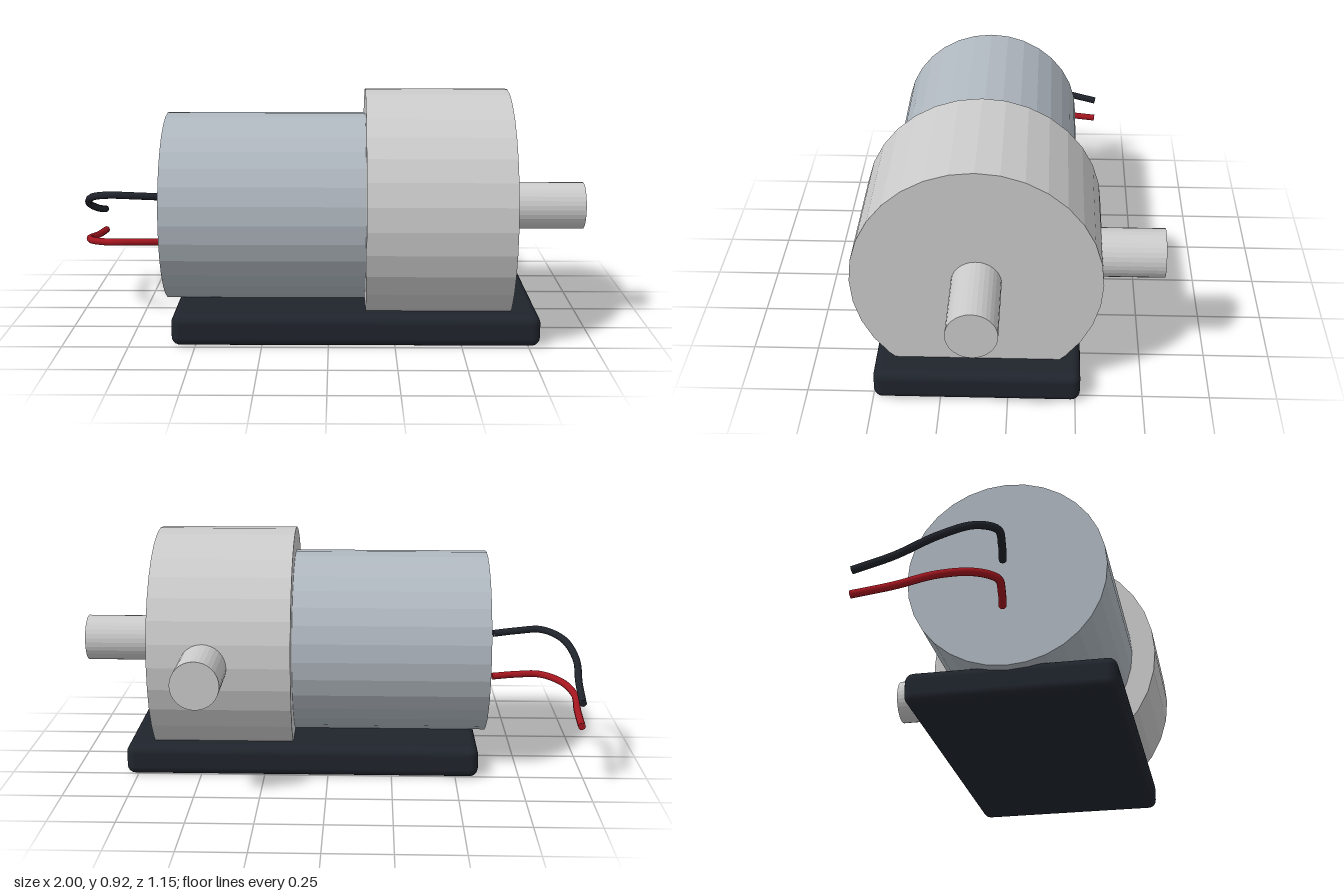
import * as THREE from 'three';
import { RoundedBoxGeometry } from 'three/addons/geometries/RoundedBoxGeometry.js';

const AXIS_Y = 0.465, AXIS_Z = 0.115;

function material(color, flatShading = false) {
  return new THREE.MeshStandardMaterial({ color, flatShading });
}

function addMesh(group, name, geometry, mat) {
  const mesh = new THREE.Mesh(geometry, mat);
  mesh.name = name;
  group.add(mesh);
  return mesh;
}

// Cylinder lying along x between two stations, on the motor axis
function addAxial(group, name, radius, x0, x1, mat) {
  const geometry = new THREE.CylinderGeometry(radius, radius, x1 - x0, 32);
  geometry.rotateZ(-Math.PI / 2);
  addMesh(group, name, geometry, mat).position.set((x0 + x1) / 2, AXIS_Y, AXIS_Z);
}

// Lead that leaves the motor, bends and runs backwards; heights vary per wire
function addWire(group, name, heights, color) {
  const plan = [
    [-0.667, 0.11], [-0.77, 0.128], [-0.865, 0.133], [-0.945, 0.065],
    [-0.983, -0.05], [-0.975, -0.2], [-0.97, -0.35],
  ];
  const path = new THREE.CatmullRomCurve3(
    plan.map(([x, z], i) => new THREE.Vector3(x, heights[i], z)));
  const mat = material(color);
  const wire = new THREE.Group();
  wire.name = name;
  addMesh(wire, name + 'Sheath', new THREE.TubeGeometry(path, 40, 0.0145, 10), mat);
  // Flat end caps
  for (const t of [0, 1]) {
    const cap = addMesh(wire, name + 'End', new THREE.CircleGeometry(0.0145, 10), mat);
    cap.position.copy(path.getPoint(t));
    const outward = path.getTangent(t).multiplyScalar(t ? 1 : -1);
    cap.quaternion.setFromUnitVectors(new THREE.Vector3(0, 0, 1), outward);
  }
  group.add(wire);
}

export function createModel() {
  const model = new THREE.Group();
  model.name = 'waterPump';

  // Mounting base with rounded edges
  const base = new RoundedBoxGeometry(1.385, 0.12, 0.766, 3, 0.033);
  addMesh(model, 'base', base, material(0x20252d)).position.set(0.1025, 0.064, AXIS_Z);

  // Motor and pump head on a shared axis
  const grey = material(0xcccccc, true);
  addAxial(model, 'motor', 0.367, -0.63, 0.14, material(0xb0b8c0, true));
  addAxial(model, 'pumpHead', 0.46, 0.14, 0.69, grey);

  // Inlet along the axis, outlet through the rear of the head
  addAxial(model, 'inlet', 0.092, 0.6, 1.0, grey);
  const outlet = new THREE.CylinderGeometry(0.092, 0.092, 0.32, 32);
  outlet.rotateX(-Math.PI / 2);
  addMesh(model, 'outlet', outlet, grey).position.set(0.476, AXIS_Y, -0.417);

  // Power leads
  addWire(model, 'blackWire', [0.495, 0.503, 0.507, 0.485, 0.435, 0.38, 0.342], 0x20242b);
  addWire(model, 'redWire', [0.312, 0.316, 0.316, 0.305, 0.287, 0.265, 0.25], 0xa5161f);

  return model;
}
